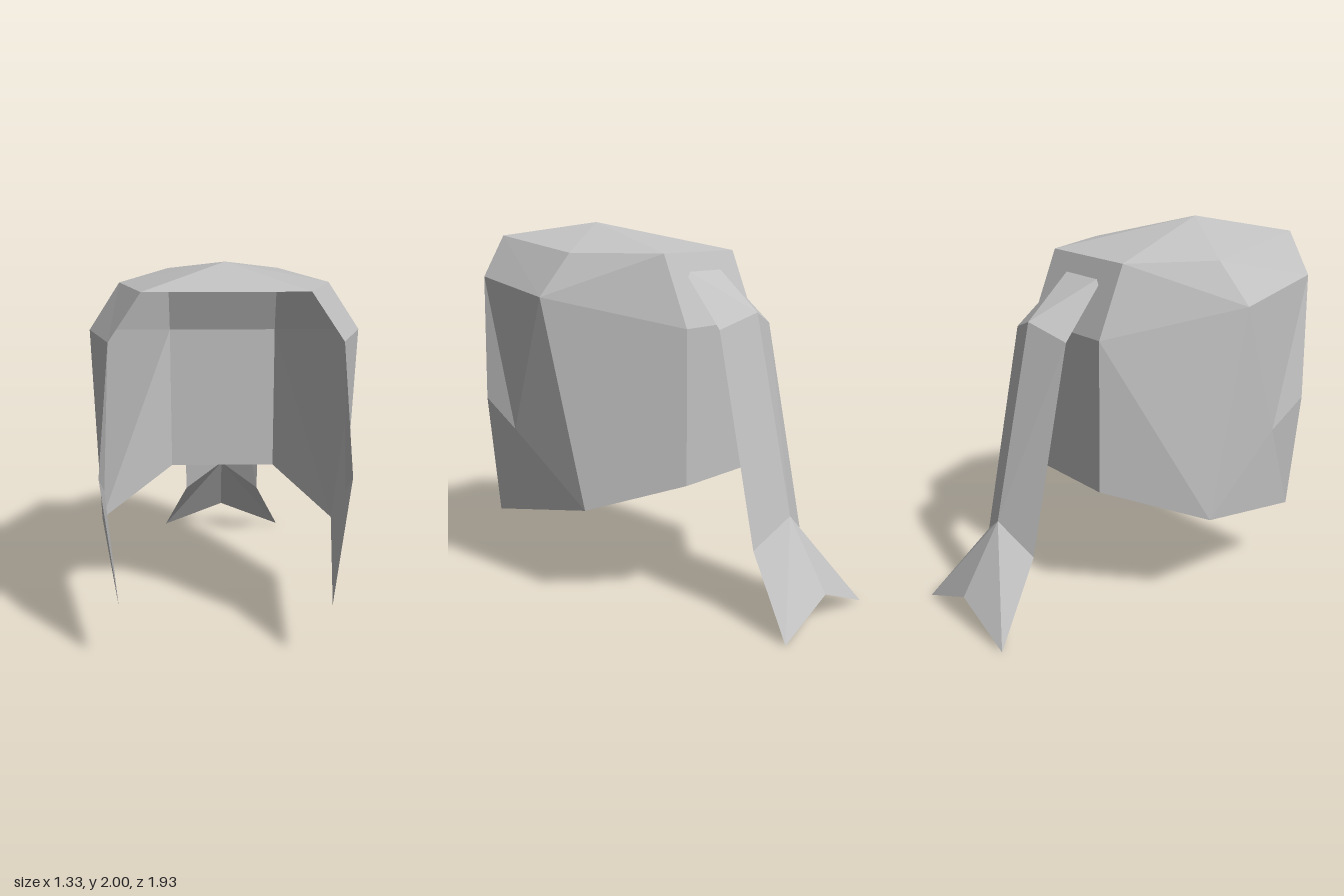
import * as THREE from 'three';

const hairGrey = new THREE.MeshStandardMaterial({ color: 0xc2c2c2, side: THREE.DoubleSide });
hairGrey.name = 'hair grey';

// Flat-shaded sheet from convex faces; each face is a list of corner points.
function sheet(name, faces) {
  const pts = [];
  for (const f of faces)
    for (let i = 1; i < f.length - 1; i++) pts.push(...f[0], ...f[i], ...f[i + 1]);
  const geo = new THREE.BufferGeometry();
  geo.setAttribute('position', new THREE.Float32BufferAttribute(pts, 3));
  geo.computeVertexNormals();
  const mesh = new THREE.Mesh(geo, hairGrey);
  mesh.name = name;
  return mesh;
}

// Mirror faces across x = 0, keeping them facing outward.
const mirror = (faces) => faces.map((f) => f.map(([x, y, z]) => [-x, y, z]).reverse());
const flip = ([x, y, z]) => [-x, y, z];

// Corners of the hair cap on the +x side
const apex = [0, 2, 0.593];
const crownFront = [0.37, 1.926, 0.963], crownSide = [0.52, 1.852, 0.296], crownBack = [0.296, 1.852, -0.148];
const browFront = [0.52, 1.704, 0.963], browSide = [0.667, 1.63, 0.37], browBack = [0.296, 1.481, -0.296];
const cheek = [0.593, 1.037, 0.889], dent = [0.593, 0.889, 0.667];
const tipFront = [0.52, 0.375, 0.889], hemBack = [0.296, 0.667, -0.296];

// One side curtain of hair; the hem corner differs a little between sides.
function curtain(hemX) {
  const hem = [hemX, 0.52, 0.148];
  return [
    [crownFront, browFront, browSide, crownSide],
    [crownSide, browSide, crownBack],
    [crownBack, browSide, browBack],
    [browFront, dent, browSide],
    [browFront, cheek, dent],
    [cheek, tipFront, dent],
    [dent, tipFront, hem],
    [dent, hem, browSide],
    [browSide, hem, browBack],
    [browBack, hem, hemBack],
  ];
}

export function createModel() {
  const group = new THREE.Group();
  group.name = 'hair';

  // Crown: six facets around the apex
  const halfCrown = [[apex, crownFront, crownSide], [apex, crownSide, crownBack]];
  group.add(sheet('crown', [
    ...halfCrown, ...mirror(halfCrown),
    [apex, flip(crownFront), crownFront],
    [apex, crownBack, flip(crownBack)],
  ]));

  // Side curtains and back panel
  group.add(sheet('leftSide', curtain(0.593)));
  group.add(sheet('rightSide', mirror(curtain(0.667))));
  group.add(sheet('back', [
    [crownBack, browBack, flip(browBack), flip(crownBack)],
    [browBack, hemBack, flip(hemBack), flip(browBack)],
  ]));

  // Ponytail: a ridged strip ending in a forked tip
  const root = [0.148, 1.778, -0.148];
  const ridgeTop = [0, 1.556, -0.52], edgeTop = [0.222, 1.481, -0.445];
  const ridgeLow = [0, 0.52, -0.741], edgeLow = [0.222, 0.375, -0.667];
  const notch = [0, 0.148, -0.963], fork = [0.37, 0, -0.963];
  const halfTail = [
    [root, edgeTop, ridgeTop],
    [ridgeTop, edgeTop, edgeLow, ridgeLow],
    [ridgeLow, edgeLow, fork],
    [ridgeLow, fork, notch],
  ];
  group.add(sheet('ponytail', [
    ...halfTail, ...mirror(halfTail),
    [root, ridgeTop, flip(root)],
  ]));

  return group;
}
